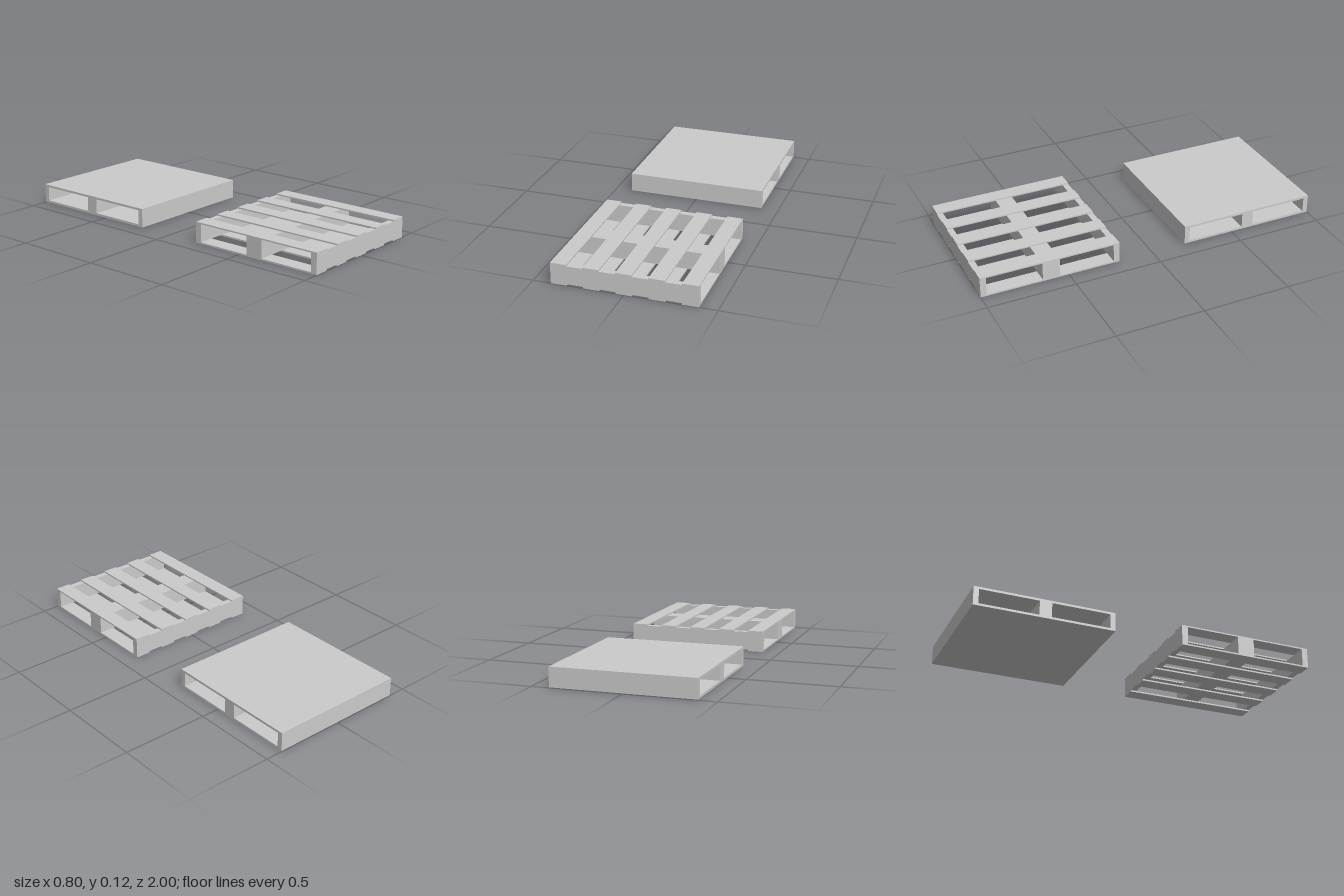
import * as THREE from 'three';

const material = new THREE.MeshStandardMaterial({ color: 0xcccccc, flatShading: true });
const SIZE = 0.8;

// Box given by its lower and upper corner
function addBox(group, name, [x0, y0, z0], [x1, y1, z1]) {
  const mesh = new THREE.Mesh(new THREE.BoxGeometry(x1 - x0, y1 - y0, z1 - z0), material);
  mesh.position.set((x0 + x1) / 2, (y0 + y1) / 2, (z0 + z1) / 2);
  mesh.name = name;
  group.add(mesh);
}

// Pallet with five spaced slats above and below three stringers
function createSlattedPallet() {
  const pallet = new THREE.Group();
  pallet.name = 'slattedPallet';
  const half = SIZE / 2, low = 0.009, high = 0.112, top = 0.12;
  for (const [z0, z1] of [[-half, -0.365], [-0.05, 0.05], [0.365, half]]) {
    addBox(pallet, 'stringer', [-half, low, z0], [half, high, z1]);
  }
  const width = SIZE / 9; // slats and gaps are equally wide
  for (let i = 0; i < 5; i++) {
    const x = -half + 2 * i * width;
    addBox(pallet, 'bottomSlat', [x, 0, -half], [x + width, low, half]);
    addBox(pallet, 'topSlat', [x, high, -half], [x + width, top, half]);
  }
  return pallet;
}

// Closed pallet: one block with two fork tunnels running along x
function createSolidPallet() {
  const half = SIZE / 2, low = 0.003, high = 0.112;
  const rectangle = (Type, a0, b0, a1, b1) => new Type([
    new THREE.Vector2(a0, b0), new THREE.Vector2(a1, b0),
    new THREE.Vector2(a1, b1), new THREE.Vector2(a0, b1),
  ]);
  const profile = rectangle(THREE.Shape, -half, low, half, high);
  for (const [a0, a1] of [[-0.37, -0.035], [0.035, 0.37]]) {
    profile.holes.push(rectangle(THREE.Path, a0, 0.016, a1, 0.099));
  }
  const geometry = new THREE.ExtrudeGeometry(profile, { depth: SIZE, bevelEnabled: false });
  geometry.translate(0, 0, -half).rotateY(Math.PI / 2);
  const mesh = new THREE.Mesh(geometry, material);
  mesh.name = 'solidPallet';
  return mesh;
}

export function createModel() {
  const model = new THREE.Group();
  model.name = 'pallets';
  const slatted = createSlattedPallet();
  slatted.position.z = 0.6;
  const solid = createSolidPallet();
  solid.position.z = -0.6;
  model.add(slatted, solid);
  return model;
}
